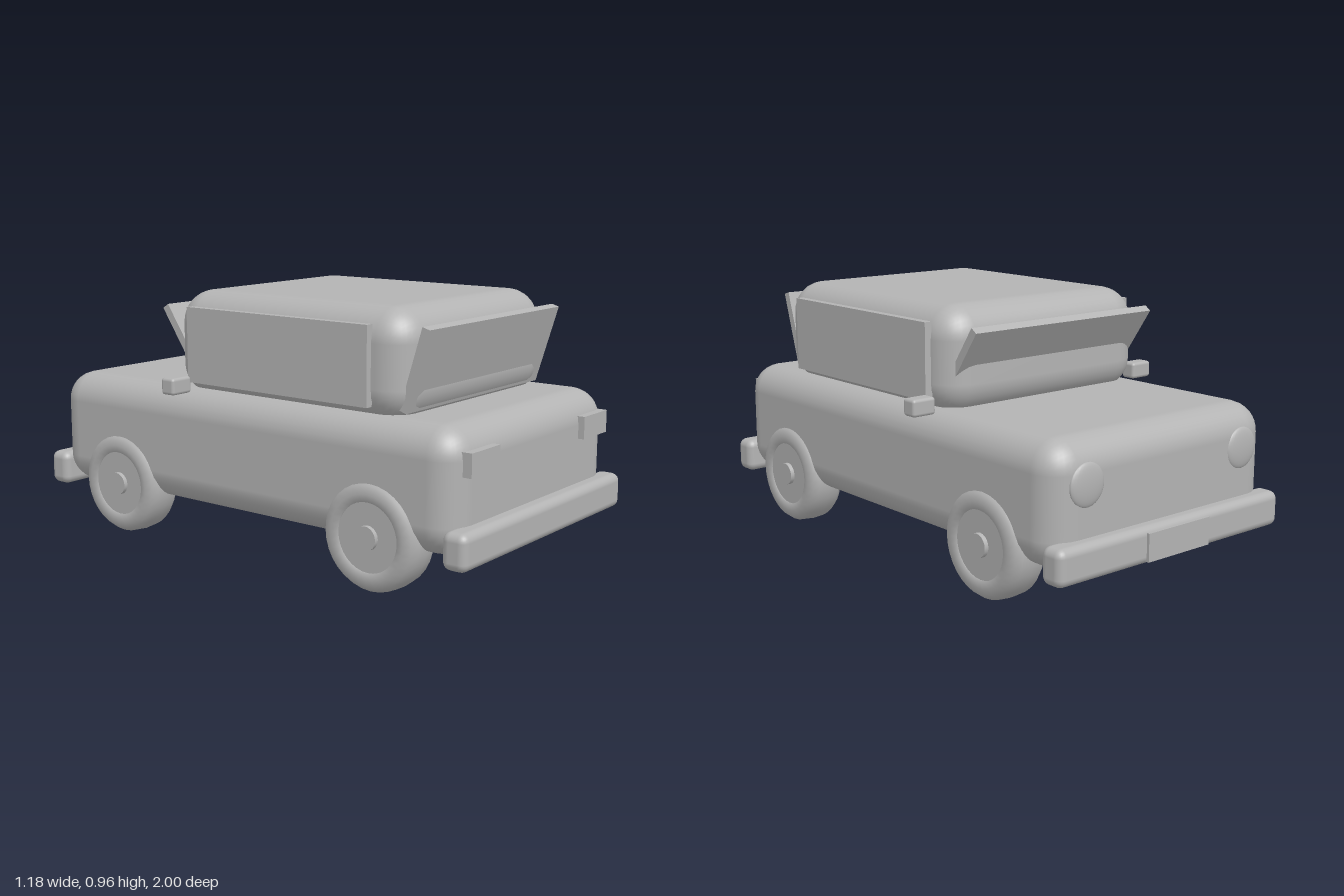
import * as THREE from 'three';
import { RoundedBoxGeometry } from 'three/addons/geometries/RoundedBoxGeometry.js';

export function createModel() {
  const car = new THREE.Group();
  car.name = 'car';
  const grey = new THREE.MeshStandardMaterial({ color: 0xb3b3b3 });
  grey.name = 'plainGrey';

  const add = (name, geometry, x, y, z, parent = car) => {
    const mesh = new THREE.Mesh(geometry, grey);
    mesh.name = name;
    mesh.position.set(x, y, z);
    parent.add(mesh);
    return mesh;
  };
  const rounded = (w, h, d, r, s = 3) => new RoundedBoxGeometry(w, h, d, s, r);

  // Body and cabin
  add('body', rounded(1.06, 0.44, 1.88, 0.11, 4), 0, 0.38, 0);
  add('cabin', rounded(0.95, 0.395, 1.06, 0.12, 4), 0, 0.7625, 0.175);

  // Tilted windscreens, leaning outward at the top
  const screen = new THREE.BoxGeometry(0.855, 0.3, 0.03);
  add('frontScreen', screen, 0, 0.757, 0.712).rotation.x = 0.3;
  add('rearScreen', screen, 0, 0.766, -0.345).rotation.x = -0.6;

  // Bumpers and number plate
  const bumper = rounded(1.09, 0.13, 0.095, 0.03);
  add('frontBumper', bumper, 0, 0.208, 0.9475);
  add('rearBumper', bumper, 0, 0.208, -0.9425);
  add('plate', new THREE.BoxGeometry(0.3, 0.1, 0.02), 0, 0.205, -0.99);

  // Tyre cross-section: axial offset against radius
  const tyreProfile = [
    [0.123, -0.06], [0.123, -0.07], [0.15, -0.076], [0.178, -0.066], [0.193, -0.045],
    [0.197, 0], [0.193, 0.045], [0.178, 0.066], [0.15, 0.076], [0.123, 0.07], [0.123, 0.06],
  ].map(([r, a]) => new THREE.Vector2(r, a));
  const tyre = new THREE.LatheGeometry(tyreProfile, 32);
  const hub = new THREE.CylinderGeometry(0.123, 0.123, 0.13, 32);
  const cap = new THREE.CylinderGeometry(0.043, 0.043, 0.05, 20);

  const lens = new THREE.SphereGeometry(0.076, 24, 16).scale(1, 1, 0.24);

  for (const side of [-1, 1]) {
    // Side window, mirror and lamps
    add('sideWindow', new THREE.BoxGeometry(0.03, 0.278, 0.82), side * 0.483, 0.766, 0.16);
    add('mirror', rounded(0.098, 0.063, 0.062, 0.012, 2), side * 0.54, 0.619, -0.27);
    add('frontLamp', new THREE.BoxGeometry(0.173, 0.083, 0.04), side * 0.378, 0.481, 0.944);
    add('rearLamp', lens, side * 0.38, 0.45, -0.936);

    // Wheels, axle along x with the cap outward
    for (const z of [0.607, -0.593]) {
      const wheel = new THREE.Group();
      wheel.name = 'wheel';
      wheel.position.set(side * 0.472, 0.197, z);
      wheel.rotation.z = -side * Math.PI / 2;
      car.add(wheel);
      add('tyre', tyre, 0, 0, 0, wheel);
      add('hub', hub, 0, 0, 0, wheel);
      add('hubCap', cap, 0, 0.056, 0, wheel);
    }
  }
  return car;
}
